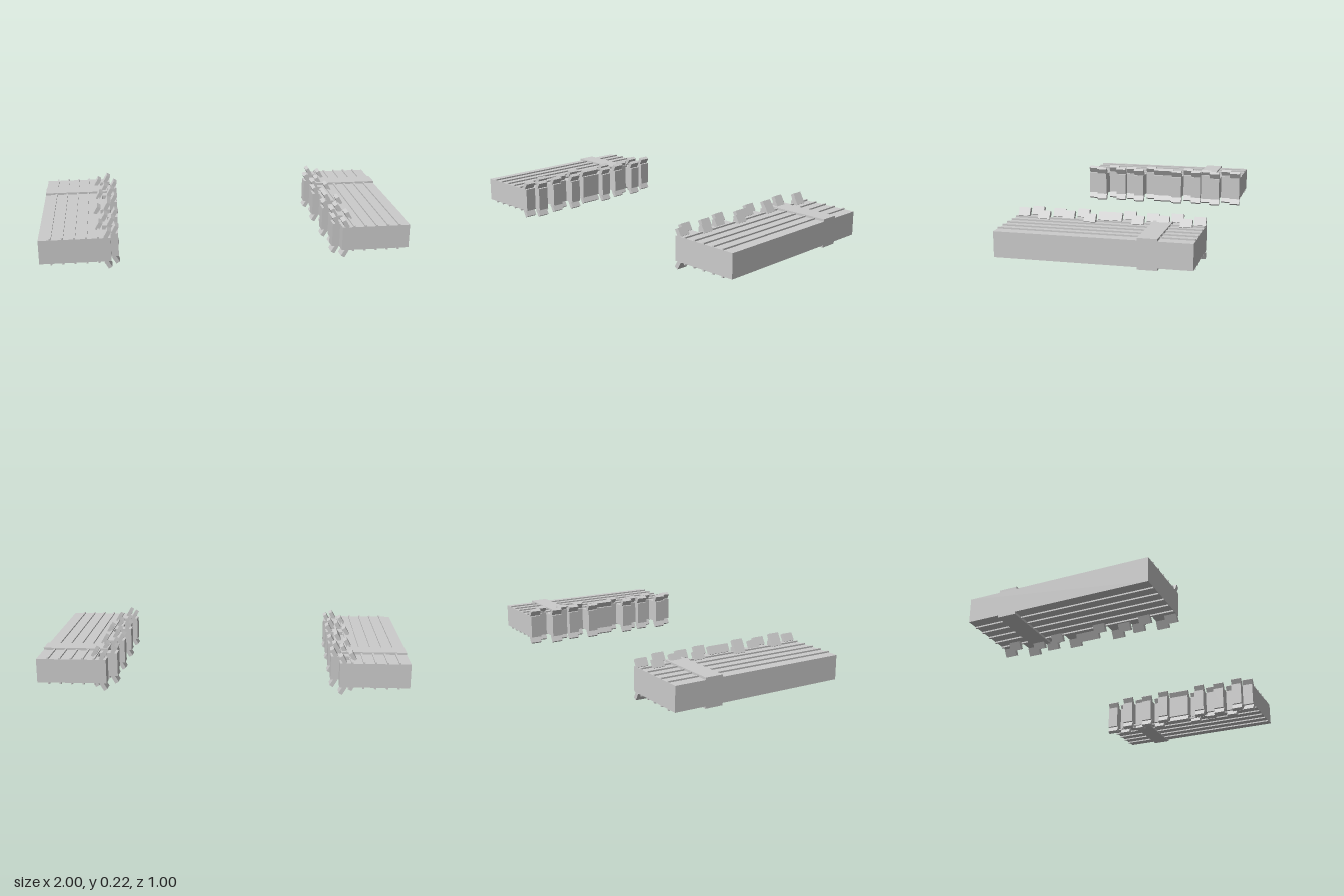
import * as THREE from 'three';

// Distance of each broken strip's end from the centre, repeated twice along z
const STRIP_ENDS = [0.62, 0.675, 0.58, 0.637, 0.6, 0.665, 0.58, 0.62];
const STRIP = 0.0625;
const MID = 0.109;      // middle height of the slab
const HALF = 0.066;     // half of the slab's thickness

export function createModel() {
  const model = new THREE.Group();
  model.name = 'brokenWall';
  const grey = new THREE.MeshStandardMaterial({ color: 0xcccccc });
  grey.name = 'grey';

  const ends = [...STRIP_ENDS, ...STRIP_ENDS];

  function box(parent, name, w, h, d, x, y, z) {
    const mesh = new THREE.Mesh(new THREE.BoxGeometry(w, h, d), grey);
    mesh.name = name;
    mesh.position.set(x, y, z);
    parent.add(mesh);
    return mesh;
  }

  function wallHalf(side) {
    const half = new THREE.Group();
    half.name = side < 0 ? 'rightHalf' : 'leftHalf';

    // Slab with a stepped, broken edge along the gap
    const outline = new THREE.Shape();
    outline.moveTo(side, 0.5);
    ends.forEach((end, i) => {
      const z = -0.5 + i * STRIP;
      outline.lineTo(side * (end + 0.003), -z);
      outline.lineTo(side * (end + 0.003), -z - STRIP);
    });
    outline.lineTo(side, -0.5);
    const slabGeometry = new THREE.ExtrudeGeometry(outline, { depth: HALF * 2, bevelEnabled: false });
    slabGeometry.rotateX(-Math.PI / 2);
    const slab = new THREE.Mesh(slabGeometry, grey);
    slab.name = 'slab';
    slab.position.y = MID - HALF;
    half.add(slab);

    for (const face of [1, -1]) {
      // Thin ribs running the length of the slab
      for (let i = 0; i < 5; i++) {
        box(half, 'rib', 0.01, 0.012, 1, side * (0.9375 - i * STRIP), MID + face * (HALF + 0.002), 0);
      }
      // Flat band across the ribs
      box(half, 'band', 0.36, 0.012, 0.1, side * 0.82, MID + face * (HALF + 0.006), -0.277);

      // Bent tabs leaning into the gap; the two middle strips share one
      ends.forEach((end, i) => {
        if (i === 8) return;
        const width = i === 7 ? 2 * STRIP : STRIP;
        const z = -0.5 + i * STRIP + width / 2;
        const tab = box(half, 'bentTab', 0.022, 0.045, width, side * (end + 0.02), MID + face * 0.084, z);
        tab.rotation.z = side * face * Math.PI / 6;
      });
    }
    return half;
  }

  model.add(wallHalf(-1), wallHalf(1));
  return model;
}
